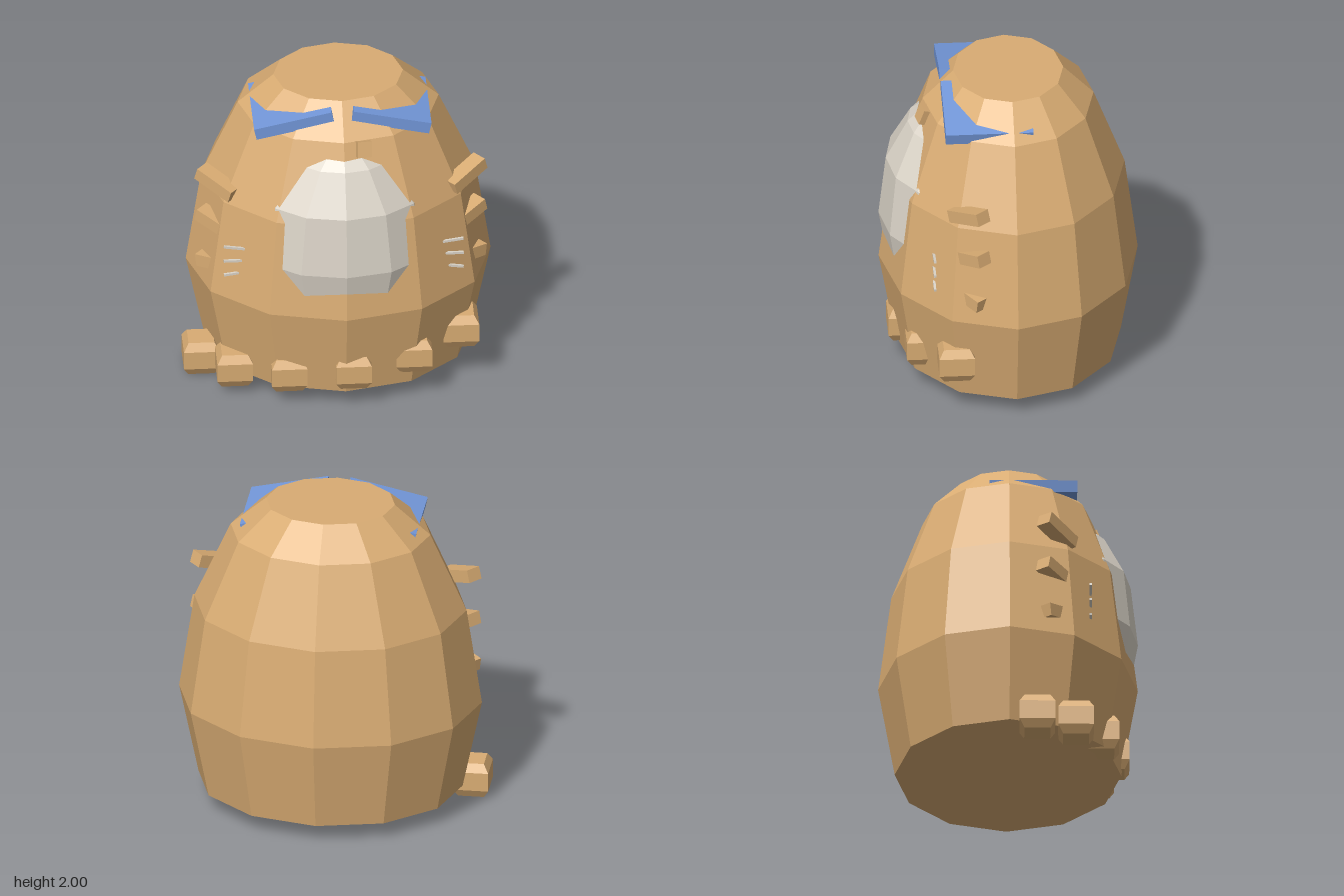
import * as THREE from 'three';

const flat = (name, color) => {
  const m = new THREE.MeshStandardMaterial({ color, flatShading: true });
  m.name = name;
  return m;
};

export function createModel() {
  const model = new THREE.Group();
  model.name = 'lowPolyCreature';
  const fur = flat('tan fur', 0xd9ac73);
  const pale = flat('pale grey', 0xdad3c7);
  const blue = flat('blue', 0x7398da);
  const CX = 0.01; // body axis

  const add = (name, geometry, material, x, y, z) => {
    const mesh = new THREE.Mesh(geometry, material);
    mesh.name = name;
    mesh.position.set(x, y, z);
    model.add(mesh);
    return mesh;
  };
  const lathe = (profile, sides, start = 0) =>
    new THREE.LatheGeometry(profile.map(([r, y]) => new THREE.Vector2(r, y)), sides, start);

  // Barrel body, narrower front to back
  const body = lathe([[0, 0.02], [0.82, 0.115], [0.94, 0.69], [0.845, 1.31],
    [0.62, 1.81], [0.4, 2], [0, 2]], 12);
  body.scale(1, 1, 0.85);
  add('body', body, fur, CX, 0, 0);

  // Rounded belly, mostly sunk into the body
  const belly = lathe([[0, 0.6], [0.479, 0.7], [0.557, 1], [0.493, 1.39],
    [0.3, 1.65], [0, 1.86]], 12);
  belly.scale(1, 1, 0.7);
  add('belly', belly, pale, CX, 0, 0.41);

  // Nose
  const nose = add('nose', new THREE.BoxGeometry(0.09, 0.1, 0.06), fur, 0.13, 1.765, 0.528);
  nose.rotation.set(-0.35, 0.25, 0);

  for (const s of [1, -1]) {
    const side = s > 0 ? 'left' : 'right';

    // Slanted brow slab
    const brow = add(side + 'Brow', new THREE.BoxGeometry(0.49, 0.075, 0.54), blue,
      CX + s * 0.3, 1.881, 0.15);
    brow.rotation.z = -s * 0.215;

    // Three short arms down the flank: x, y, z, length, tilt
    [[0.765, 1.415, 0.295, 0.27, 0.3], [0.79, 1.13, 0.268, 0.2, 0.25],
      [0.815, 0.84, 0.255, 0.13, -0.15]].forEach(([x, y, z, length, tilt], i) => {
      const arm = add(side + 'Arm' + (i + 1), new THREE.BoxGeometry(length, 0.08, 0.1), fur,
        CX + s * x, y, z);
      arm.rotation.set(0, s * 0.7, s * tilt, 'YXZ');
    });

    // Three fanned whiskers
    [[1.06, 0.15], [0.97, 0], [0.882, -0.14]].forEach(([y, tilt], i) => {
      const whisker = add(side + 'Whisker' + (i + 1), new THREE.BoxGeometry(0.18, 0.015, 0.015),
        pale, CX + s * 0.65, y, 0.5);
      whisker.rotation.z = s * tilt;
    });
  }

  // Row of chamfered feet climbing around the front
  const r = Math.SQRT2;
  const foot = lathe([[0, -0.112], [0.08 * r, -0.112], [0.11 * r, -0.06],
    [0.11 * r, 0.06], [0.08 * r, 0.112], [0, 0.112]], 4, Math.PI / 4);
  [[-0.85, 0.114, 0.17], [-0.66, 0.165, 0.41], [-0.335, 0.215, 0.57],
    [0.057, 0.26, 0.638], [0.435, 0.31, 0.55], [0.738, 0.367, 0.37]].forEach(([x, y, z], i) =>
    add('foot' + (i + 1), foot, fur, x, y, z));

  return model;
}
